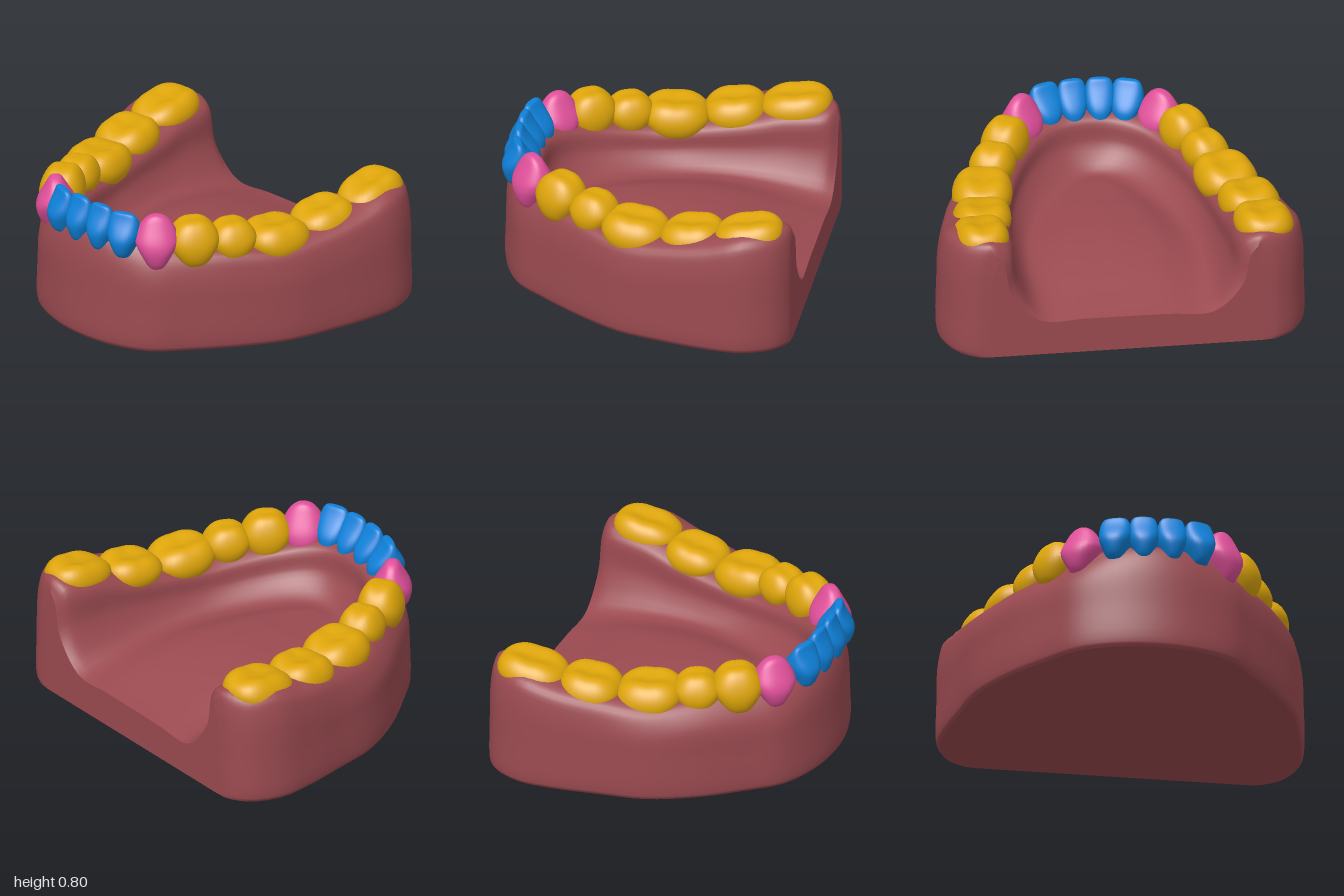
import * as THREE from 'three';
import { mergeVertices } from 'three/addons/utils/BufferGeometryUtils.js';

const mat = (name, color) => Object.assign(new THREE.MeshStandardMaterial({ color }), { name });
const V = (x, y, z) => new THREE.Vector3(x, y, z);
const BACK = 0.845;

// Half of the arch from back to front:
// outer x, z, rim y | inner gum x, z, y | floor groove x, z, y | floor middle x, y
const STATIONS = [
  [0.845, 0.75, 0.58, 0.845, 0.675, 0.56, 0.845, 0.47, 0.205, 0.845, 0.20],
  [0.835, 0.83, 0.64, 0.80, 0.64, 0.62, 0.78, 0.47, 0.225, 0.78, 0.215],
  [0.76, 0.93, 0.65, 0.70, 0.62, 0.62, 0.66, 0.47, 0.25, 0.66, 0.25],
  [0.60, 0.995, 0.65, 0.55, 0.61, 0.60, 0.52, 0.47, 0.27, 0.50, 0.30],
  [0.40, 0.985, 0.59, 0.38, 0.59, 0.55, 0.36, 0.47, 0.285, 0.33, 0.34],
  [0.15, 0.935, 0.54, 0.15, 0.56, 0.51, 0.15, 0.45, 0.295, 0.17, 0.365],
  [-0.10, 0.865, 0.51, -0.08, 0.52, 0.49, -0.04, 0.40, 0.30, 0.03, 0.37],
  [-0.35, 0.72, 0.53, -0.27, 0.46, 0.51, -0.19, 0.34, 0.31, -0.08, 0.37],
  [-0.58, 0.55, 0.53, -0.45, 0.37, 0.54, -0.35, 0.25, 0.325, -0.18, 0.36],
  [-0.73, 0.42, 0.53, -0.57, 0.27, 0.57, -0.45, 0.17, 0.335, -0.25, 0.355],
  [-0.82, 0.22, 0.58, -0.64, 0.15, 0.59, -0.51, 0.09, 0.34, -0.30, 0.35],
  [-0.85, 0, 0.60, -0.66, 0, 0.60, -0.53, 0, 0.34, -0.32, 0.35],
];

// Cross-section of the gum from the outer foot over the ridge to the floor middle
function section([ox, oz, oy, ix, iz, iy, sx, sz, sy, mx, my], side) {
  // one side of the arch bulges a little more
  const bulge = side < 0 ? 0.035 * Math.exp(-(((ox + 0.35) / 0.35) ** 2)) : 0;
  const o = V(ox, 0, oz + bulge), i = V(ix, 0, iz);
  const dir = i.clone().sub(o).normalize();
  const at = (inset, y) => o.clone().addScaledVector(dir, inset).setY(y);
  const ridge = o.clone().lerp(i, 0.5).setY(Math.max(oy, iy) + 0.03);
  const inner = i.clone().setY(iy), groove = V(sx, sy, sz), mid = V(mx, my, 0);
  const wall = inner.clone().lerp(groove, 0.22).setY(THREE.MathUtils.lerp(iy, sy, 0.53));
  const floor = groove.clone().lerp(mid, 0.5).setY(THREE.MathUtils.lerp(sy, my, 0.75));
  const pts = [at(0.015, 0), at(0, 0.025), at(0, 0.25), at(0.012, oy - 0.11), at(0.05 + bulge, oy),
    ridge, inner, wall, groove, floor, mid];
  pts.forEach(p => { p.z *= side; });
  return pts;
}

function buildGum(material) {
  const half = STATIONS.map(s => section(s, 1));
  const other = STATIONS.slice(0, -1).reverse().map(s => section(s, -1));
  const controls = [...half, ...other];
  const columns = controls[0].map((_, j) => new THREE.CatmullRomCurve3(controls.map(c => c[j])));
  const nu = (controls.length - 1) * 4, nv = (columns.length - 1) * 5;
  const rows = [];
  for (let u = 0; u <= nu; u++) {
    const curve = new THREE.CatmullRomCurve3(columns.map(c => c.getPoint(u / nu)));
    const row = [];
    for (let v = 0; v <= nv; v++) {
      const p = curve.getPoint(v / nv);
      // the ridge on one side sits a little lower towards the back
      const drop = THREE.MathUtils.smoothstep(-p.z, 0, 0.6) * THREE.MathUtils.smoothstep(p.x, 0, 0.8);
      p.y *= 1 - 0.06 * drop;
      row.push(p);
    }
    rows.push(row);
  }
  const index = [];
  for (let u = 0; u < nu; u++) {
    for (let v = 0; v < nv; v++) {
      const a = u * (nv + 1) + v, b = a + nv + 1;
      index.push(a, a + 1, b, b, a + 1, b + 1);
    }
  }
  let skin = new THREE.BufferGeometry().setFromPoints(rows.flat());
  skin.setIndex(index);
  skin = mergeVertices(skin, 1e-4);
  skin.computeVertexNormals();

  // flat back wall and underside
  const profile = [...rows[0], ...rows[nu].slice(0, -1).reverse()];
  const back = new THREE.ShapeGeometry(new THREE.Shape(profile.map(p => new THREE.Vector2(-p.z, p.y))));
  back.rotateY(Math.PI / 2).translate(BACK, 0, 0);
  const base = new THREE.ShapeGeometry(new THREE.Shape(rows.map(r => new THREE.Vector2(r[0].x, r[0].z))));
  base.rotateX(Math.PI / 2);

  const gum = new THREE.Group();
  gum.name = 'gum';
  [['gumSurface', skin], ['gumBackWall', back], ['gumUnderside', base]].forEach(([name, geo]) => {
    const mesh = new THREE.Mesh(geo, material);
    mesh.name = name;
    gum.add(mesh);
  });
  return gum;
}

// Crown shapes: neck and tip scale along (a) and across (b) the arch,
// lean = outward shift of the tip, dip = depth of the chewing groove, point = drop at the corners
const KINDS = {
  incisor: { neckA: 0.66, tipA: 1, neckB: 1, tipB: 0.3, lean: 0.03, dip: 0, point: 0, round: 0.36 },
  canine: { neckA: 0.62, tipA: 1, neckB: 1, tipB: 0.5, lean: 0.01, dip: 0, point: 0.06, round: 0.6 },
  premolar: { neckA: 0.75, tipA: 1, neckB: 1, tipB: 0.88, lean: -0.01, dip: 0.014, point: 0.035, round: 0.66 },
  molar: { neckA: 0.85, tipA: 1.02, neckB: 1, tipB: 0.94, lean: -0.01, dip: 0.028, point: 0.012, round: 0.57 },
};

// tilt raises the chewing surface towards local +x
function crown(kind, a, b, bottom, top, tilt) {
  const k = KINDS[kind];
  const geo = new THREE.SphereGeometry(1, 36, 28);
  const pos = geo.attributes.position;
  for (let n = 0; n < pos.count; n++) {
    const x = pos.getX(n), y = pos.getY(n), z = pos.getZ(n);
    const s = Math.hypot(x, z);
    let px = 0, pz = 0;
    if (s > 1e-5) {
      const c = x / s, d = z / s;
      const q = Math.pow(Math.pow(Math.abs(c), 2.5) + Math.pow(Math.abs(d), 2.5), -1 / 2.5);
      const r = Math.pow(s, k.round) * q;
      px = c * r;
      pz = d * r;
    }
    const t = (y + 1) / 2;
    let h = bottom + (top - bottom) * t + tilt * px * t;
    if (y > 0) {
      const groove = Math.exp(-5 * pz * pz) * (1 - 0.8 * px * px) + 0.25 * Math.exp(-18 * px * px);
      h -= y * (k.dip * groove + k.point * px * px);
    }
    const wide = THREE.MathUtils.lerp(k.neckA, k.tipA, THREE.MathUtils.smoothstep(t, 0.05, 0.6));
    const deep = THREE.MathUtils.lerp(k.neckB, k.tipB, THREE.MathUtils.smoothstep(t, 0.35, 1));
    pos.setXYZ(n, px * a * wide, h, pz * b * deep + k.lean * t);
  }
  const smooth = geo.deleteAttribute('normal').deleteAttribute('uv');
  const merged = mergeVertices(smooth, 1e-5);
  merged.computeVertexNormals();
  return merged;
}

// kind, x, z, outward angle in degrees, half length, half depth, bottom y, top y, backward tilt
const TEETH = [
  ['molar', 0.61, 0.775, 3, 0.185, 0.15, 0.52, 0.73, 0.03],
  ['molar', 0.29, 0.725, -6, 0.17, 0.16, 0.46, 0.67, 0.02],
  ['molar', -0.03, 0.68, -9, 0.182, 0.165, 0.43, 0.66, -0.012],
  ['premolar', -0.275, 0.59, -25, 0.133, 0.125, 0.47, 0.71, 0],
  ['premolar', -0.475, 0.495, -32, 0.14, 0.125, 0.47, 0.755, 0],
  ['canine', -0.64, 0.375, -45, 0.12, 0.115, 0.47, 0.79, 0],
  ['incisor', -0.728, 0.23, -70, 0.091, 0.105, 0.53, 0.79, 0],
  ['incisor', -0.745, 0.085, -85, 0.083, 0.10, 0.53, 0.795, 0],
  ['incisor', -0.745, -0.063, -85, 0.083, 0.10, 0.53, 0.795, 0],
  ['incisor', -0.728, -0.208, -70, 0.091, 0.105, 0.53, 0.785, 0],
  ['canine', -0.64, -0.375, -45, 0.12, 0.115, 0.47, 0.765, 0],
  ['premolar', -0.485, -0.495, -32, 0.14, 0.125, 0.46, 0.745, 0],
  ['premolar', -0.285, -0.58, -25, 0.133, 0.122, 0.46, 0.70, 0],
  ['molar', -0.04, -0.66, -12, 0.182, 0.168, 0.42, 0.66, -0.01],
  ['molar', 0.27, -0.745, -8, 0.17, 0.165, 0.44, 0.67, 0.015],
  ['molar', 0.6, -0.78, -3, 0.192, 0.16, 0.49, 0.705, 0.025],
];

export function createModel() {
  const gumRed = mat('gumRed', 0x9a4a50);
  const gold = mat('gold', 0xdea50a);
  const pink = mat('pink', 0xe0509a);
  const blue = mat('blue', 0x0f80d8);
  const paint = { molar: gold, premolar: gold, canine: pink, incisor: blue };

  const model = new THREE.Group();
  model.name = 'lowerJawModel';
  model.add(buildGum(gumRed));

  const teeth = new THREE.Group();
  teeth.name = 'teeth';
  TEETH.forEach(([kind, x, z, angle, a, b, bottom, top, tilt]) => {
    const side = Math.sign(z);
    const tooth = new THREE.Mesh(crown(kind, a, b, bottom, top, side * tilt), paint[kind]);
    tooth.name = kind;
    const yaw = THREE.MathUtils.degToRad(angle);
    tooth.position.set(x, 0, z);
    tooth.rotation.y = side > 0 ? yaw : Math.PI - yaw;
    teeth.add(tooth);
  });
  model.add(teeth);
  return model;
}
